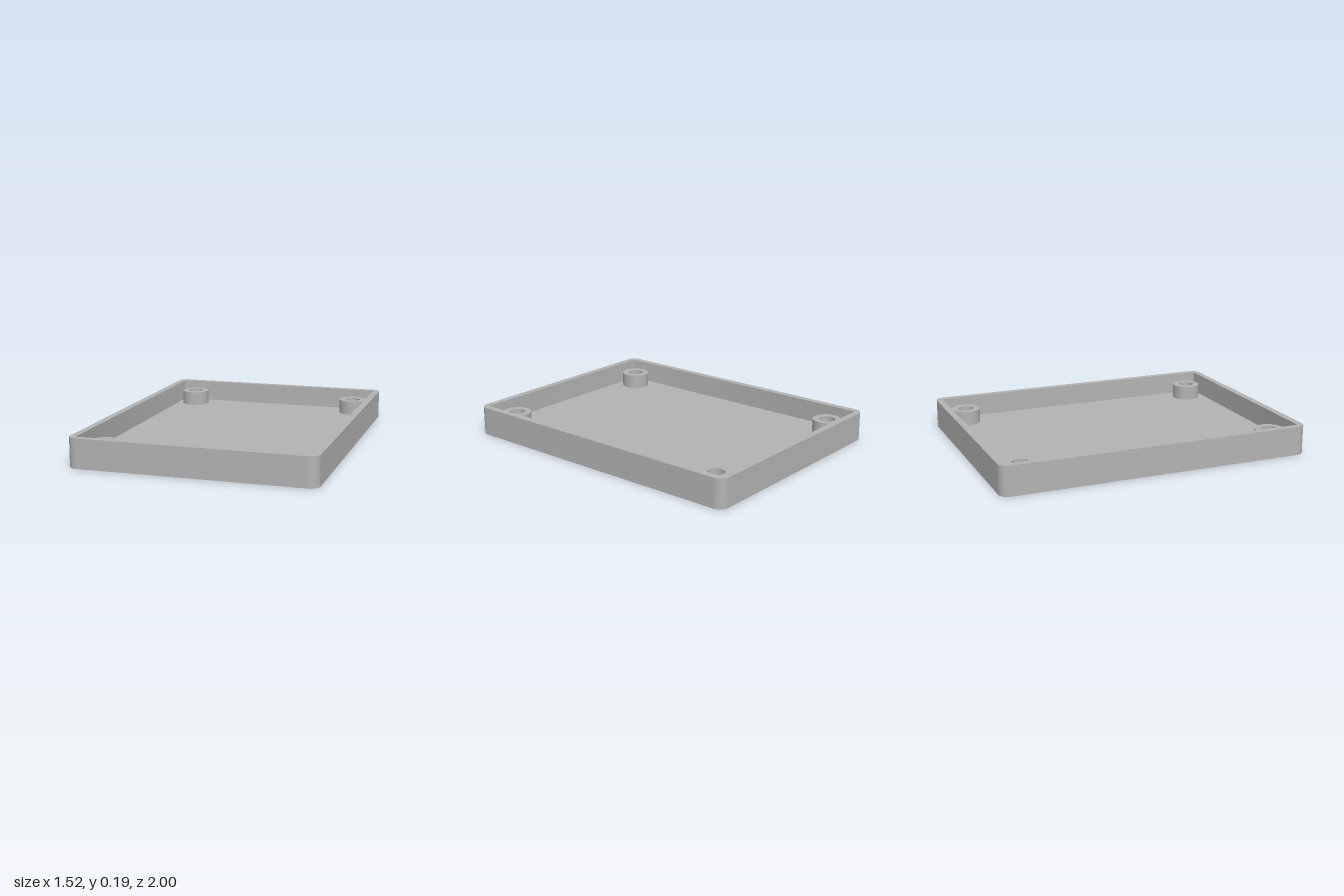
import * as THREE from 'three';
import { toCreasedNormals } from 'three/addons/utils/BufferGeometryUtils.js';

const HALF_X = 0.762, HALF_Z = 1, HEIGHT = 0.185;
const WALL = 0.043, FLOOR = 0.046, BOSS_TOP = 0.14;
const BOSS_X = 0.593, BOSS_Z = 0.83, BOSS_R = 0.093, HOLE_R = 0.052;

// Rounded rectangle centred on the origin, drawn into a Shape or Path
function roundedRect(path, hx, hy, r) {
  const q = Math.PI / 2;
  path.moveTo(hx, -hy + r);
  path.absarc(hx - r, hy - r, r, 0, q);
  path.absarc(-hx + r, hy - r, r, q, 2 * q);
  path.absarc(-hx + r, -hy + r, r, 2 * q, 3 * q);
  path.absarc(hx - r, -hy + r, r, 3 * q, 4 * q);
  return path;
}

function circle(path, x, y, r) {
  path.absarc(x, y, r, 0, Math.PI * 2);
  return path;
}

// Extrude a plan shape upward from y0 to y1, with smooth curves and sharp rims
function slab(shape, y0, y1) {
  const g = new THREE.ExtrudeGeometry(shape, { depth: y1 - y0, bevelEnabled: false, curveSegments: 24 });
  g.rotateX(-Math.PI / 2);
  g.translate(0, y0, 0);
  return toCreasedNormals(g, Math.PI / 6);
}

export function createModel() {
  const model = new THREE.Group();
  model.name = 'enclosureTray';
  const grey = new THREE.MeshStandardMaterial({ color: 0xb3b3b3 });
  grey.name = 'grey';

  const add = (name, geometry) => {
    const mesh = new THREE.Mesh(geometry, grey);
    mesh.name = name;
    model.add(mesh);
    return mesh;
  };

  const corners = [[1, 1], [-1, 1], [-1, -1], [1, -1]].map(([sx, sz]) => [sx * BOSS_X, sz * BOSS_Z]);

  // Floor plate with four through holes
  const floor = roundedRect(new THREE.Shape(), HALF_X, HALF_Z, 0.06);
  for (const [x, z] of corners) floor.holes.push(circle(new THREE.Path(), x, z, HOLE_R));
  add('floor', slab(floor, 0, FLOOR));

  // Rim wall around the edge
  const rim = roundedRect(new THREE.Shape(), HALF_X, HALF_Z, 0.06);
  rim.holes.push(roundedRect(new THREE.Path(), HALF_X - WALL, HALF_Z - WALL, 0.01));
  add('rimWall', slab(rim, FLOOR, HEIGHT));

  // Hollow screw bosses standing on the floor
  const ring = circle(new THREE.Shape(), 0, 0, BOSS_R);
  ring.holes.push(circle(new THREE.Path(), 0, 0, HOLE_R));
  const bossGeometry = slab(ring, FLOOR, BOSS_TOP);
  for (const [x, z] of corners) add('screwBoss', bossGeometry).position.set(x, 0, z);

  return model;
}
